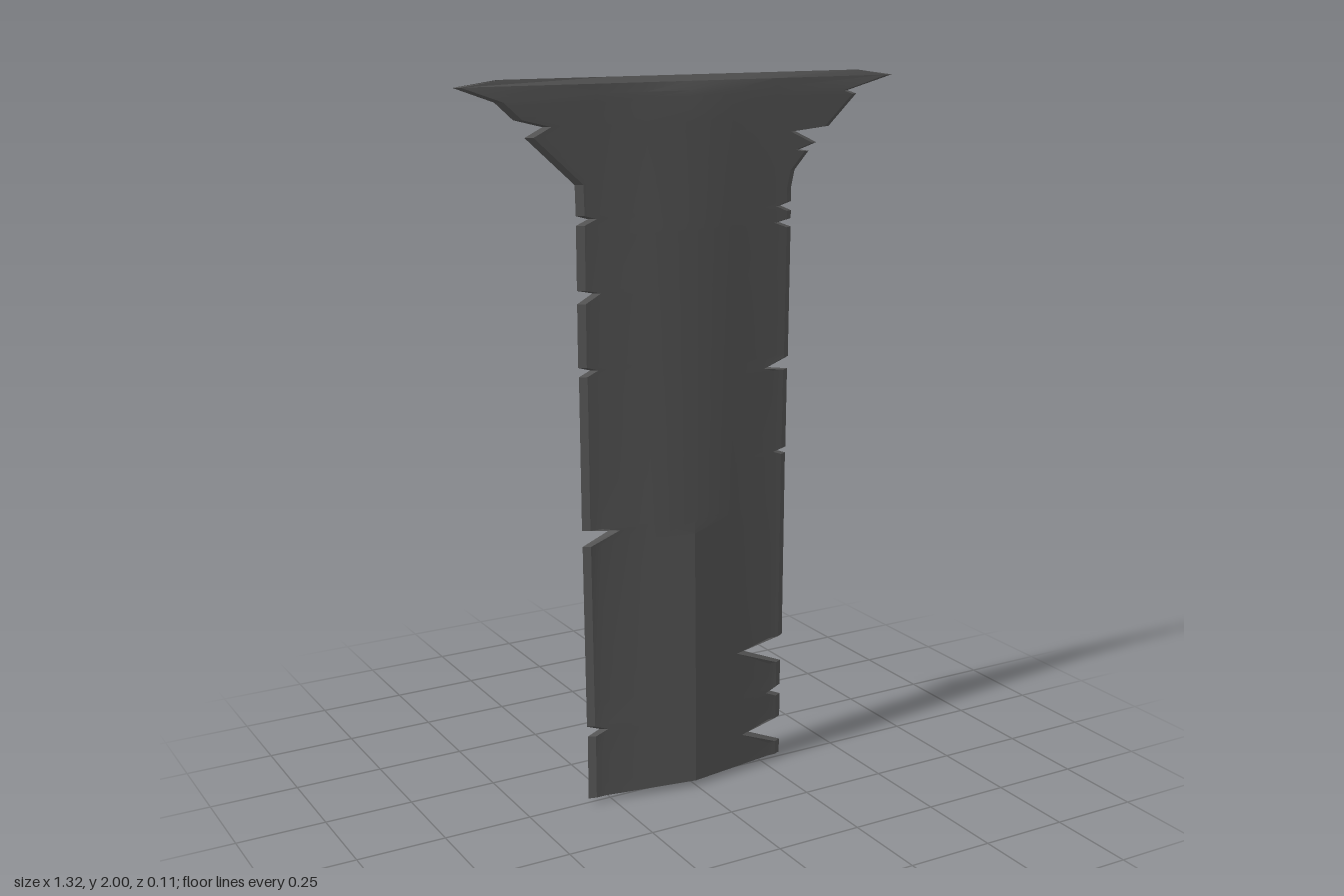
import * as THREE from 'three';
import { toCreasedNormals } from 'three/addons/utils/BufferGeometryUtils.js';

// Chipped edge outlines as [x, y], from bottom to top
const rightEdge = [
  [0.315, 0.015], [0.315, 0.055], [0.19, 0.108], [0.315, 0.13], [0.315, 0.2], [0.28, 0.215],
  [0.315, 0.23], [0.315, 0.305], [0.17, 0.365], [0.32, 0.385], [0.322, 0.935], [0.295, 0.945],
  [0.323, 0.952], [0.325, 1.18], [0.26, 1.19], [0.327, 1.215], [0.33, 1.58], [0.29, 1.595],
  [0.33, 1.603], [0.33, 1.625], [0.295, 1.64], [0.33, 1.65], [0.33, 1.69], [0.34, 1.735],
  [0.385, 1.785], [0.355, 1.79], [0.41, 1.807], [0.34, 1.84], [0.45, 1.85], [0.54, 1.935],
  [0.51, 1.945], [0.66, 1.984],
];
const leftEdge = [
  [-0.318, 0.015], [-0.318, 0.2], [-0.28, 0.215], [-0.32, 0.23], [-0.325, 0.755], [-0.24, 0.79],
  [-0.326, 0.8], [-0.328, 1.225], [-0.295, 1.24], [-0.33, 1.25], [-0.33, 1.42], [-0.285, 1.445],
  [-0.33, 1.455], [-0.33, 1.625], [-0.295, 1.64], [-0.33, 1.65], [-0.332, 1.73], [-0.47, 1.855],
  [-0.42, 1.88], [-0.5, 1.9], [-0.55, 1.945], [-0.66, 1.984],
];
// Half thickness along the central ridge as [thickness, y]
const ridge = [[0.053, 0.015], [0.051, 0.3], [0.042, 1], [0.034, 1.6], [0.025, 1.9], [0.02, 1.96], [0.012, 1.984]];

// Value of a [value, y] polyline at height y
function at(line, y) {
  for (let i = 1; i < line.length; i++) {
    const [a, ya] = line[i - 1], [b, yb] = line[i];
    if (y <= yb) return a + (b - a) * (y - ya) / (yb - ya);
  }
  return line[line.length - 1][0];
}

// Diamond section in the middle, thin flat wings, tapered flare tips
function halfThickness(x, y) {
  const a = Math.abs(x), wing = Math.min(0.011, at(ridge, y));
  if (a < 0.27) return THREE.MathUtils.lerp(at(ridge, y), wing, a / 0.27);
  return a < 0.52 ? wing : THREE.MathUtils.lerp(wing, 0.003, Math.min(1, (a - 0.52) / 0.14));
}

function bladeGeometry() {
  const heights = [...new Set([...leftEdge, ...rightEdge, ...ridge].map((p) => p[1]))].sort((a, b) => a - b);
  const bevel = 0.02;
  const rows = heights.map((y) => {
    const l = at(leftEdge, y), r = at(rightEdge, y);
    const xs = [l, l + bevel, Math.max(-0.27, l + bevel), -0.13, 0, 0.13, Math.min(0.27, r - bevel), r - bevel, r];
    return xs.map((x, j) => [x, y, j === 0 || j === 8 ? 0 : halfThickness(x, y)]);
  });
  // Close the bottom and top with sharp ridges
  rows.unshift(rows[0].map(([x]) => [x, 0.012 * Math.abs(x) / 0.318, 0]));
  rows.push(rows[rows.length - 1].map(([x]) => [x * 0.82, 2, 0]));

  const positions = [];
  const triangle = (side, a, b, c) => {
    for (const [x, y, z] of side > 0 ? [a, b, c] : [a, c, b]) positions.push(x, y, z * side);
  };
  for (const side of [1, -1]) {
    for (let i = 0; i < rows.length - 1; i++) {
      for (let j = 0; j < 8; j++) {
        const a = rows[i][j], b = rows[i][j + 1], c = rows[i + 1][j + 1], d = rows[i + 1][j];
        if (b[0] - a[0] > 1e-6) triangle(side, a, b, c);
        if (c[0] - d[0] > 1e-6) triangle(side, a, c, d);
      }
    }
  }
  const geometry = new THREE.BufferGeometry();
  geometry.setAttribute('position', new THREE.Float32BufferAttribute(positions, 3));
  return toCreasedNormals(geometry, 0.25);
}

export function createModel() {
  const group = new THREE.Group();
  group.name = 'chippedBlade';
  const darkSteel = new THREE.MeshStandardMaterial({ color: 0x555555 });
  darkSteel.name = 'darkSteel';
  const blade = new THREE.Mesh(bladeGeometry(), darkSteel);
  blade.name = 'blade';
  group.add(blade);
  return group;
}
